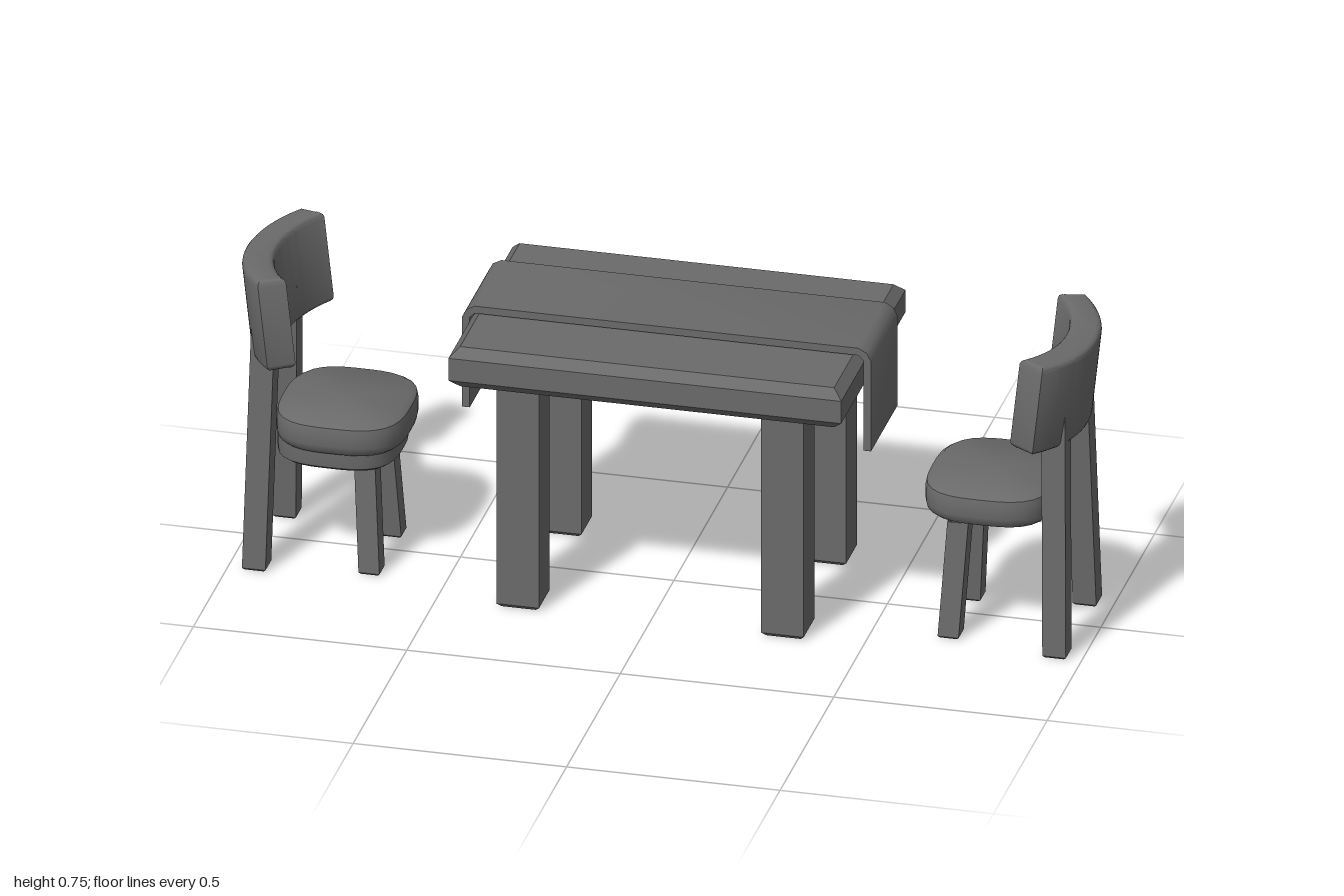
import * as THREE from 'three';
import { toCreasedNormals } from 'three/addons/utils/BufferGeometryUtils.js';

const material = new THREE.MeshStandardMaterial({ color: 0x6a6a6a, side: THREE.DoubleSide });

function addMesh(parent, name, geometry) {
  const mesh = new THREE.Mesh(geometry, material);
  mesh.name = name;
  parent.add(mesh);
  return mesh;
}

// Stack of rectangles: each profile entry is [inset, y]. Sides run +x, -z, -x, +z.
function block(halfX, halfZ, profile) {
  const g = new THREE.LatheGeometry(profile.map(([, y]) => new THREE.Vector2(1, y)), 4, Math.PI / 4);
  const p = g.attributes.position;
  for (let i = 0; i < p.count; i++) {
    const inset = profile[i % profile.length][0];
    p.setX(i, Math.sign(p.getX(i)) * Math.max(0, halfX - inset));
    p.setZ(i, Math.sign(p.getZ(i)) * Math.max(0, halfZ - inset));
  }
  return g;
}

// Square post with a chamfered foot and open top; slopes lean it in x and z.
function post(half, height, slopeX = 0, slopeZ = 0) {
  const c = half * 0.2;
  const g = block(half, half, [[half, 0], [c, 0], [0, c], [0, height]]);
  const p = g.attributes.position;
  for (let i = 0; i < p.count; i++) {
    p.setX(i, p.getX(i) + slopeX * p.getY(i));
    p.setZ(i, p.getZ(i) + slopeZ * p.getY(i));
  }
  return toCreasedNormals(g, 0.3);
}

// Turned profile (scale, y) reshaped to a rounded-square outline.
function cushion(rx, rz, profile) {
  const g = new THREE.LatheGeometry(profile.map(([s, y]) => new THREE.Vector2(s, y)), 40);
  const p = g.attributes.position;
  const n = 3.1;
  for (let i = 0; i < p.count; i++) {
    const x = p.getX(i), z = p.getZ(i), r = Math.hypot(x, z);
    if (r < 1e-6) continue;
    const k = Math.pow(Math.pow(Math.abs(x / r), n) + Math.pow(Math.abs(z / r), n), -1 / n);
    p.setX(i, x * k * rx);
    p.setZ(i, z * k * rz);
  }
  return toCreasedNormals(g, 0.7);
}

// Chair with its backrest towards +x.
function makeChair(name, hasApron) {
  const chair = new THREE.Group();
  chair.name = name;

  const seat = addMesh(chair, 'seat', cushion(0.152, 0.162,
    [[0.78, 0.308], [0.92, 0.308], [0.98, 0.317], [1, 0.332], [1, 0.362], [0.98, 0.376], [0.9, 0.385], [0, 0.385]]));
  seat.position.x = 0.76;
  if (hasApron) {
    const apron = addMesh(chair, 'seatApron', cushion(0.142, 0.14,
      [[0.8, 0.261], [0.93, 0.261], [0.99, 0.268], [1, 0.282], [1, 0.312]]));
    apron.position.x = 0.77;
  }

  for (const side of [-1, 1]) {
    const back = addMesh(chair, 'backLeg', post(0.0275, 0.61, -0.02, -0.065 * side));
    back.position.set(0.9375, 0, 0.142 * side);
    const front = addMesh(chair, 'frontLeg', post(0.0245, 0.285, 0.06, -0.085 * side));
    front.position.set(0.678, 0, 0.102 * side);
  }

  // Curved backrest, leaning outwards
  const bevel = 0.013;
  const plan = new THREE.Shape();
  plan.absarc(-0.304, 0, 0.304, -0.74, 0.74, false);
  plan.absarc(-0.355, 0, 0.28, 0.69, -0.69, true);
  plan.closePath();
  const g = new THREE.ExtrudeGeometry(plan, {
    depth: 0.225 - 2 * bevel, curveSegments: 20,
    bevelThickness: bevel, bevelSize: bevel, bevelOffset: -bevel, bevelSegments: 3,
  });
  g.translate(0, 0, bevel);
  g.rotateX(-Math.PI / 2);
  const rest = addMesh(chair, 'backrest', toCreasedNormals(g, 0.7));
  rest.position.set(0.974, 0.515, 0);
  rest.rotation.z = -0.11;

  chair.position.z = 0.018;
  return chair;
}

function makeTable() {
  const table = new THREE.Group();
  table.name = 'table';

  // Table top: a chamfered shell open underneath and along the rear side
  const slab = block(0.46, 0.299, [[0.022, 0.57], [0, 0.592], [0, 0.648], [0.022, 0.67], [1, 0.67]]);
  const indices = Array.from(slab.index.array);
  indices.splice(24, 12);
  slab.setIndex(indices);
  addMesh(table, 'tableTop', toCreasedNormals(slab, 0.3)).position.set(0.007, 0, 0);

  for (const x of [-0.307, 0.313]) {
    for (const z of [-0.211, 0.185]) {
      addMesh(table, 'tableLeg', post(0.05, 0.6)).position.set(x, 0, z);
    }
  }

  // Cloth runner draped over both ends
  const w = 0.479, t = 0.018, c = 0.03, low = 0.435, top = 0.692;
  const outer = [[w, low], [w, top - c], [w - c * 0.35, top - c * 0.35], [w - c, top]];
  const inner = [[w - t, low], [w - t, top - c], [w - c, top - t]];
  const flip = pts => pts.map(([x, y]) => [-x, y]);
  const loop = [...outer, ...flip(outer).reverse(), ...flip(inner), ...inner.reverse()];
  const runner = new THREE.ExtrudeGeometry(
    new THREE.Shape(loop.map(p => new THREE.Vector2(...p))), { depth: 0.247, bevelEnabled: false });
  addMesh(table, 'tableRunner', toCreasedNormals(runner, 0.9)).position.set(0.01, 0, -0.138);
  return table;
}

export function createModel() {
  const model = new THREE.Group();
  model.name = 'diningSet';
  const left = makeChair('leftChair', false);
  const right = makeChair('rightChair', true);
  right.rotation.y = Math.PI;
  model.add(makeTable(), left, right);
  return model;
}
